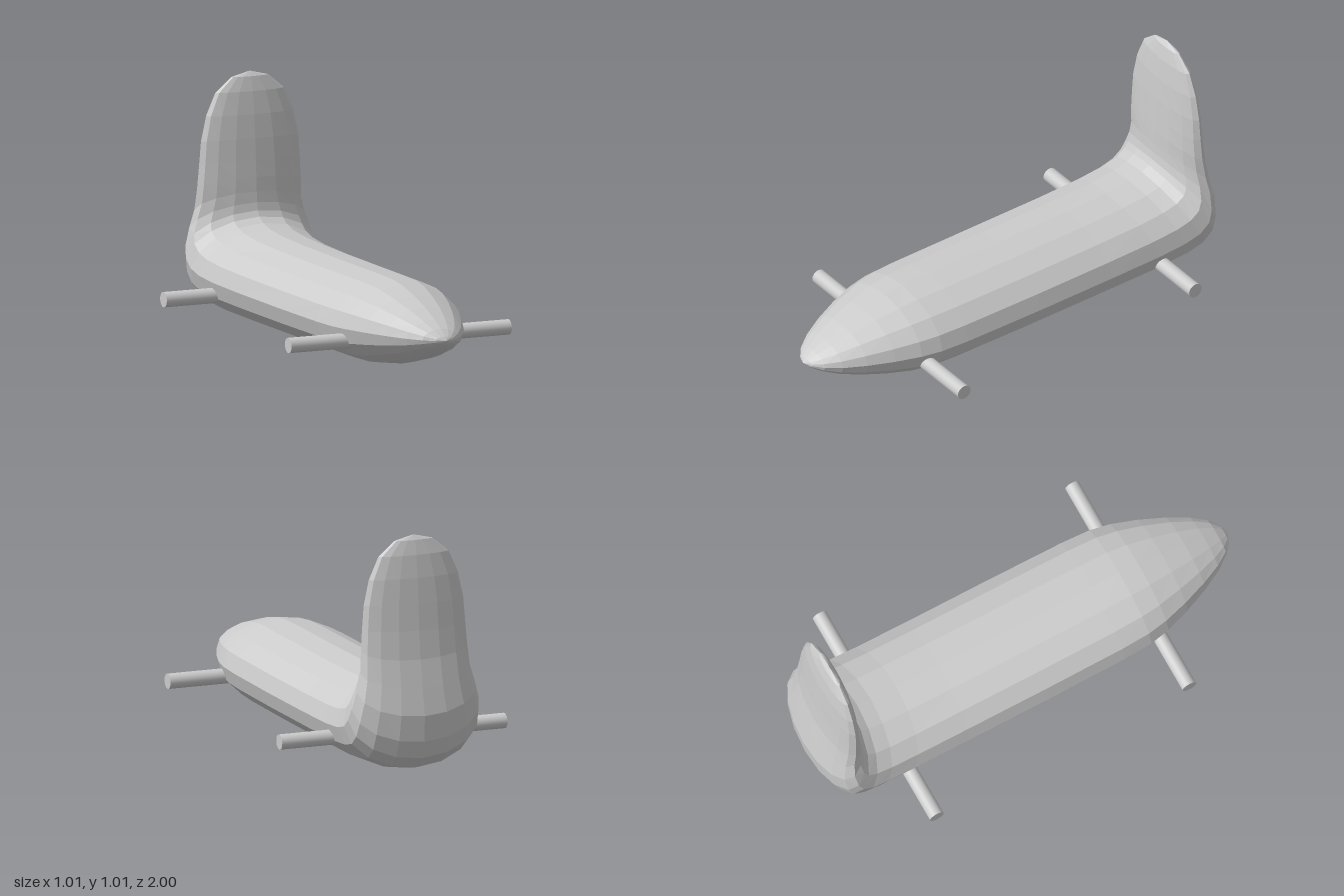
import * as THREE from 'three';

const SIDES = 16;

// Each station: [upper z, upper y, lower z, lower y, half width].
// The stations run along the hull, turn the corner and climb the upright fin.
const STATIONS = [
  [1.0, 0.183, 1.0, 0.183, 0],
  [0.985, 0.2, 0.985, 0.166, 0.04],
  [0.95, 0.226, 0.95, 0.143, 0.085],
  [0.89, 0.256, 0.89, 0.113, 0.13],
  [0.8, 0.292, 0.8, 0.078, 0.178],
  [0.69, 0.325, 0.69, 0.046, 0.225],
  [0.58, 0.35, 0.58, 0.021, 0.262],
  [0.49, 0.36, 0.49, 0.01, 0.28],
  [0.36, 0.362, 0.36, 0.006, 0.287],
  [0, 0.362, 0, 0.004, 0.29],
  [-0.36, 0.364, -0.4, 0.004, 0.29],
  [-0.56, 0.37, -0.7, 0.006, 0.291],
  [-0.68, 0.381, -0.83, 0.015, 0.292],
  [-0.745, 0.397, -0.91, 0.035, 0.293],
  [-0.78, 0.418, -0.965, 0.085, 0.293],
  [-0.795, 0.442, -0.99, 0.16, 0.285],
  [-0.802, 0.475, -0.997, 0.27, 0.265],
  [-0.806, 0.52, -0.975, 0.38, 0.245],
  [-0.809, 0.58, -0.95, 0.5, 0.238],
  [-0.814, 0.65, -0.937, 0.62, 0.231],
  [-0.82, 0.74, -0.928, 0.73, 0.223],
  [-0.829, 0.84, -0.919, 0.84, 0.2],
  [-0.842, 0.935, -0.906, 0.935, 0.157],
  [-0.857, 0.995, -0.89, 0.995, 0.085],
  [-0.874, 1.016, -0.874, 1.016, 0],
];

// Loft elliptical rings through the stations; the end stations are points
function loft(stations) {
  const rings = stations.map(([zu, yu, zl, yl, w]) => {
    const ring = [];
    for (let j = 0; j < SIDES; j++) {
      const a = (j / SIDES) * Math.PI * 2;
      const s = Math.sin(a) / 2;
      ring.push([Math.cos(a) * w, (yu + yl) / 2 + s * (yu - yl), (zu + zl) / 2 + s * (zu - zl)]);
    }
    return ring;
  });
  const positions = [];
  const last = rings.length - 2;
  for (let i = 0; i <= last; i++) {
    for (let j = 0; j < SIDES; j++) {
      const k = (j + 1) % SIDES;
      const a = rings[i][j], b = rings[i + 1][j], c = rings[i + 1][k], d = rings[i][k];
      if (i < last) positions.push(...a, ...b, ...c);
      else positions.push(...a, ...b, ...d);
      if (i > 0 && i < last) positions.push(...a, ...c, ...d);
    }
  }
  const geometry = new THREE.BufferGeometry();
  geometry.setAttribute('position', new THREE.Float32BufferAttribute(positions, 3));
  geometry.computeVertexNormals();
  return geometry;
}

export function createModel() {
  const model = new THREE.Group();
  model.name = 'wheellessCar';

  // Hull and upright tail fin as one faceted skin
  const body = new THREE.Mesh(
    loft(STATIONS),
    new THREE.MeshStandardMaterial({ color: 0xcccccc, flatShading: true })
  );
  body.name = 'bodyWithTailFin';
  model.add(body);

  // Axles through the hull
  const axleMaterial = new THREE.MeshStandardMaterial({ color: 0xcccccc });
  const axleGeometry = new THREE.CylinderGeometry(0.032, 0.032, 1.01, 32);
  axleGeometry.rotateZ(Math.PI / 2);
  for (const [name, z] of [['frontAxle', 0.545], ['rearAxle', -0.645]]) {
    const axle = new THREE.Mesh(axleGeometry, axleMaterial);
    axle.name = name;
    axle.position.set(0, 0.13, z);
    model.add(axle);
  }

  // Rest the lowest point on the ground
  const low = new THREE.Box3().setFromObject(model).min.y;
  for (const part of model.children) part.position.y -= low;
  return model;
}
